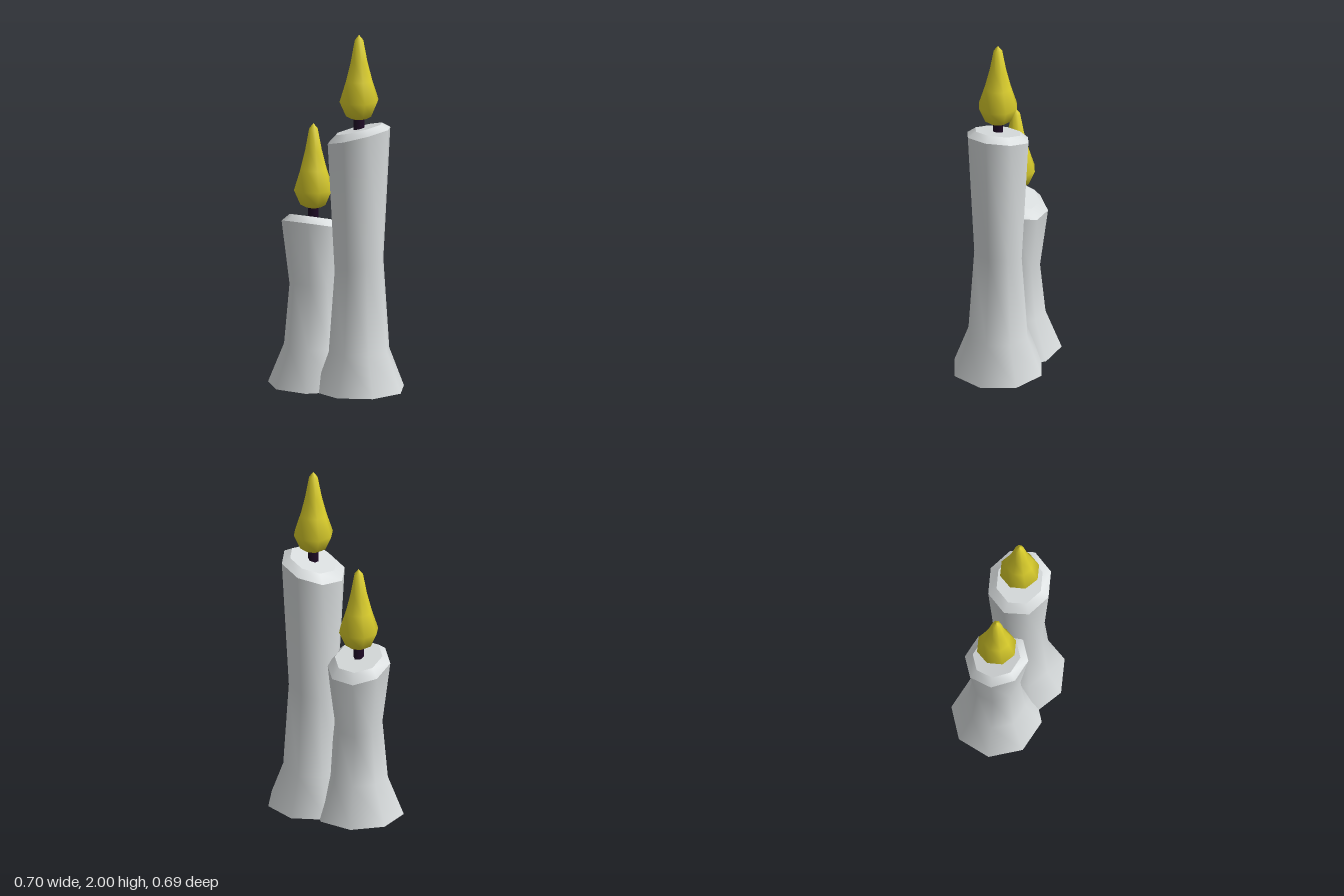
import * as THREE from 'three';
import { mergeGeometries, toCreasedNormals } from 'three/addons/utils/BufferGeometryUtils.js';

const SIDES = 8;
const mat = (name, color) => new THREE.MeshStandardMaterial({ name, color });

// Lathe a profile of [radius, height] points, smooth around its axis
function turn(profile, phase = 0, sides = SIDES) {
  const points = profile.map(([r, y]) => new THREE.Vector2(r, y));
  return new THREE.LatheGeometry(points, sides, phase);
}

// Wax body: hard edges between the base, side, bevel and top bands
function waxGeometry({ rings, phase, slope }) {
  const [foot, , , rim, lip] = rings;
  const bands = [
    [[0, 0], foot],
    rings.slice(0, 4),
    [rim, lip],
    [lip, [0, lip[1]]],
  ];
  return mergeGeometries(bands.map((band) => {
    const geo = turn(band, phase);
    const pos = geo.attributes.position;
    // Tilt the upper rings so the candle has a slanted top
    for (let i = 0; i < pos.count; i++) {
      const y = pos.getY(i);
      if (y > 0.3) pos.setY(i, y + slope[0] * pos.getX(i) + slope[1] * pos.getZ(i));
    }
    return toCreasedNormals(geo, 1.2);
  }));
}

export function createModel() {
  const wax = mat('wax', 0xd8dcdd);
  const wick = mat('wick', 0x1e0a26);
  const flame = mat('flame', 0xdccf2c);

  const flameGeo = toCreasedNormals(turn([
    [0, 0], [0.045, 0], [0.075, 0.017], [0.112, 0.1], [0.075, 0.215],
    [0.048, 0.32], [0.025, 0.44], [0, 0.472],
  ]), 1.2);

  const candles = [
    {
      name: 'tallCandle', at: [0.09, 0.09], phase: 0, slope: [0.2, 0.2], flameY: 1.528,
      rings: [[0.258, 0], [0.174, 0.22], [0.14, 0.7], [0.18, 1.43], [0.132, 1.468]],
    },
    {
      name: 'shortCandle', at: [-0.112, -0.103], phase: Math.PI / 10, slope: [-0.21, 0.21], flameY: 0.998,
      rings: [[0.252, 0], [0.163, 0.22], [0.133, 0.545], [0.177, 0.895], [0.133, 0.938]],
    },
  ];

  const model = new THREE.Group();
  model.name = 'candles';
  for (const c of candles) {
    const candle = new THREE.Group();
    candle.name = c.name;
    candle.position.set(c.at[0], 0, c.at[1]);
    const add = (name, geo, material, y = 0) => {
      const mesh = new THREE.Mesh(geo, material);
      mesh.name = name;
      mesh.position.y = y;
      candle.add(mesh);
    };
    add('waxBody', waxGeometry(c), wax);
    // Wick runs from just inside the wax up into the flame
    const bottom = c.rings[4][1] - 0.03;
    const height = c.flameY + 0.02 - bottom;
    const wickGeo = new THREE.CylinderGeometry(0.03, 0.03, height, 6);
    add('wick', wickGeo, wick, bottom + height / 2);
    add('flame', flameGeo, flame, c.flameY);
    model.add(candle);
  }
  return model;
}
